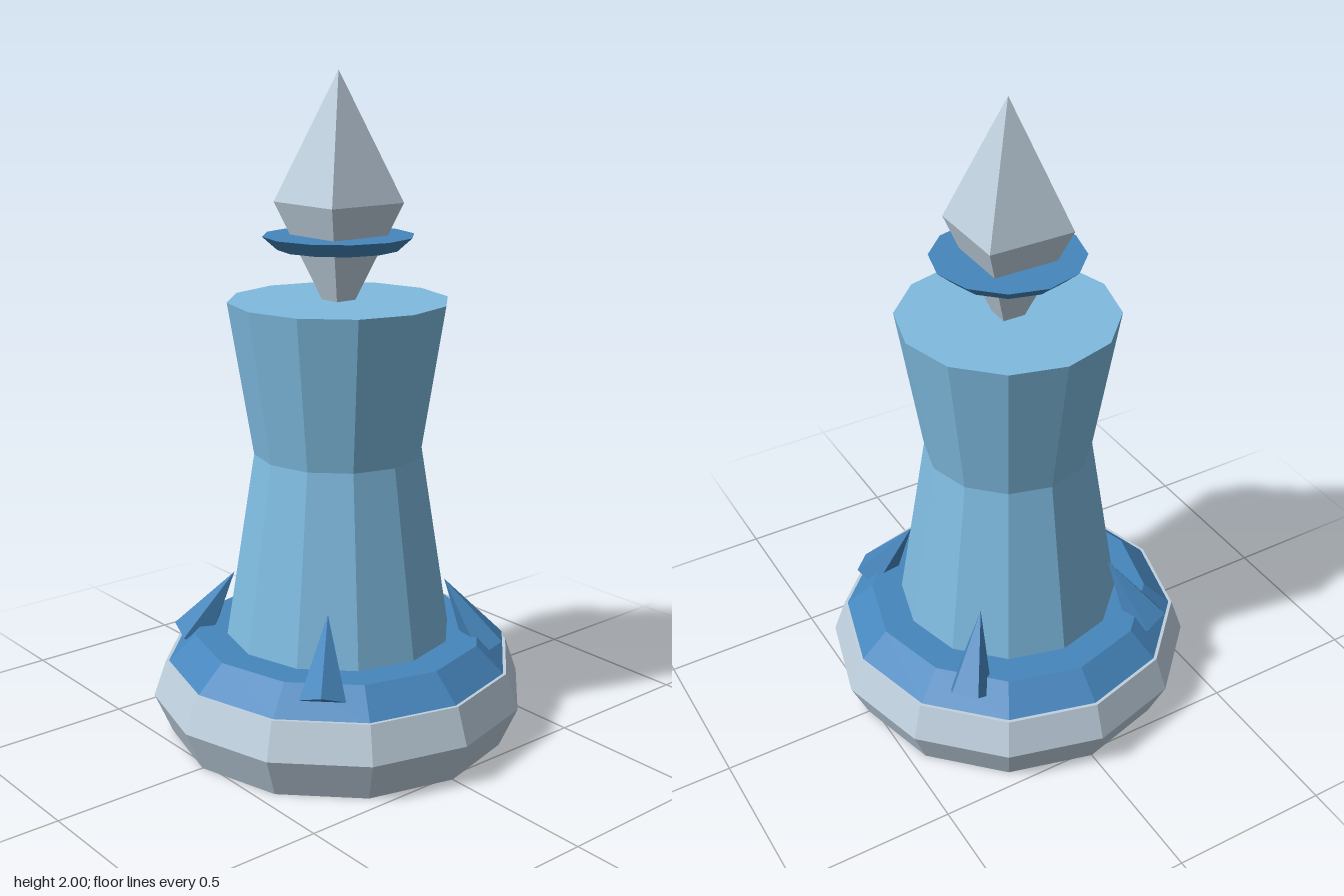
import * as THREE from 'three';

const material = (name, hex) => {
  const m = new THREE.MeshStandardMaterial({ color: hex });
  m.name = name;
  return m;
};

// Split the faces so each one is shaded flat
const facet = (geometry) => {
  const g = geometry.toNonIndexed();
  g.computeVertexNormals();
  return g;
};

export function createModel() {
  const model = new THREE.Group();
  model.name = 'chessTower';

  const stone = material('pale stone', 0xbfd0de);
  const sky = material('sky blue', 0x7fbbe0);
  const steel = material('steel blue', 0x4686bd);

  const add = (name, geometry, mat, parent = model) => {
    const mesh = new THREE.Mesh(facet(geometry), mat);
    mesh.name = name;
    parent.add(mesh);
    return mesh;
  };

  // Twelve-sided turned part from [radius, height] pairs, bottom to top
  const turned = (name, profile, mat) =>
    add(name, new THREE.LatheGeometry(profile.map(([r, y]) => new THREE.Vector2(r, y)), 12), mat);

  turned('base', [[0, 0], [0.52, 0], [0.575, 0.125], [0.537, 0.235], [0, 0.235]], stone);
  turned('collar', [[0.527, 0.235], [0.443, 0.312], [0, 0.312]], steel);
  turned('body', [[0.348, 0.3], [0.256, 0.88], [0.33, 1.34], [0, 1.34]], sky);
  turned('floatingRing', [[0, 1.49], [0.18, 1.49], [0.225, 1.53], [0, 1.53]], steel);

  // Square crystal: two pyramids base to base, its lower tip sunk in the body
  const crystal = new THREE.LatheGeometry(
    [[0, 1.24], [0.19, 1.625], [0, 2]].map(([r, y]) => new THREE.Vector2(r, y)), 4, Math.PI / 4);
  add('crystal', crystal, stone);

  // Five-sided spikes on the diagonals, leaning in toward the body
  const height = 0.25;
  for (let i = 0; i < 4; i++) {
    const angle = Math.PI / 4 + (i * Math.PI) / 2;
    const arm = new THREE.Group();
    arm.name = 'spikeArm';
    arm.rotation.y = angle;
    const cone = new THREE.ConeGeometry(0.07, height, 5);
    cone.translate(0, height / 2, 0);
    if (Math.sin(angle) > 0) cone.rotateY(Math.PI); // flat side outward on the left
    const spike = add('spike', cone, steel, arm);
    spike.position.set(0, 0.268, 0.457);
    spike.rotation.x = -0.557;
    model.add(arm);
  }

  return model;
}
